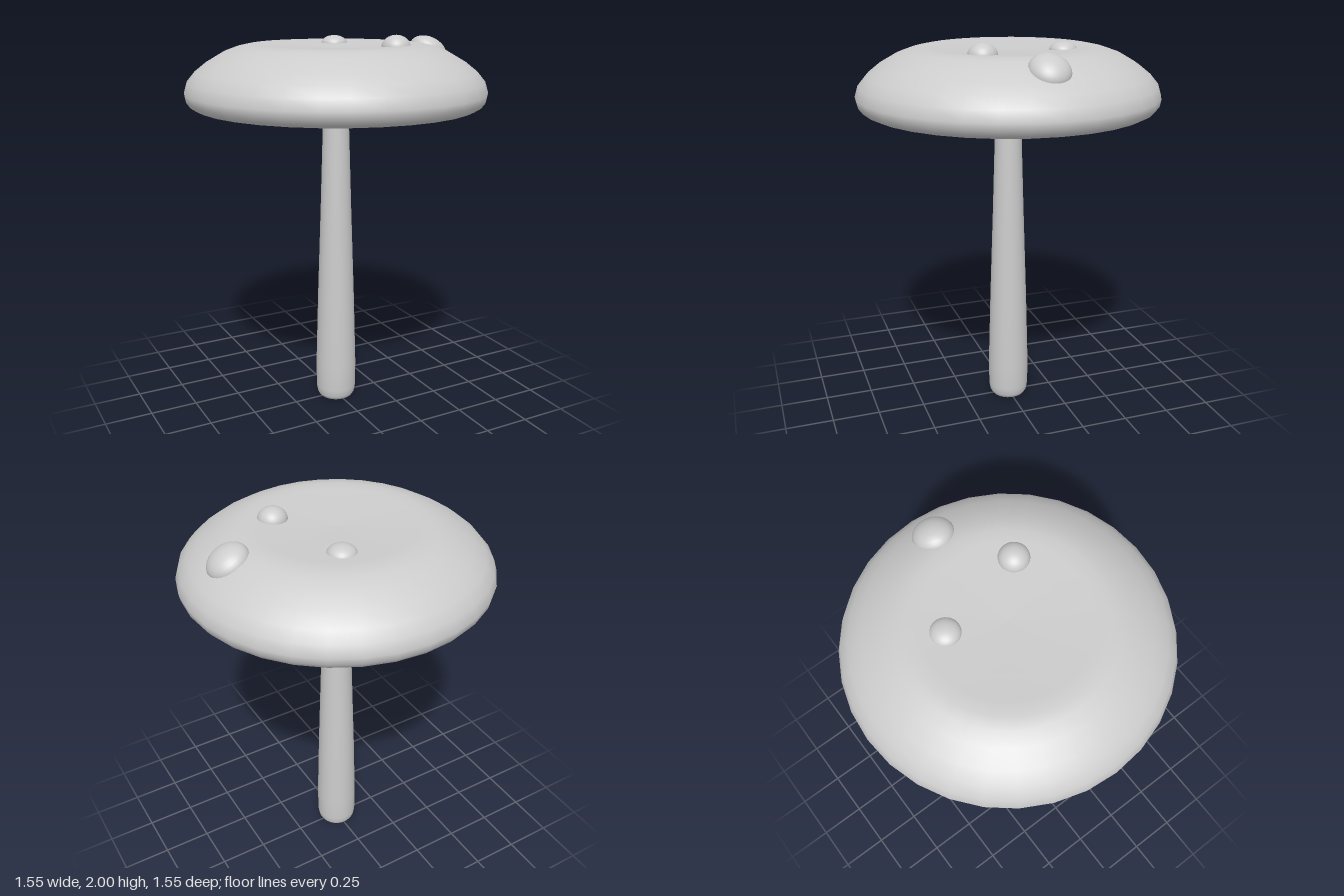
import * as THREE from 'three';

const grey = new THREE.MeshStandardMaterial({ color: 0xcccccc });
grey.name = 'plain grey';

// Smooth surface of revolution from [radius, height] pairs, listed bottom to top on the outside
function lathe(name, profile, segments) {
  const points = profile.map(([r, y]) => new THREE.Vector2(r, y));
  const mesh = new THREE.Mesh(new THREE.LatheGeometry(points, segments), grey);
  mesh.name = name;
  return mesh;
}

export function createModel() {
  const model = new THREE.Group();
  model.name = 'mushroom';

  // Cap: shallow hollow underside, rolled rim, domed shoulder and slightly dished top
  model.add(lathe('cap', [
    [0, 1.815], [0.3, 1.806], [0.46, 1.785], [0.54, 1.745], [0.6, 1.69], [0.64, 1.648], [0.68, 1.634],
    [0.715, 1.637], [0.747, 1.653], [0.767, 1.68], [0.774, 1.715], [0.757, 1.77],
    [0.715, 1.82], [0.655, 1.867], [0.57, 1.916], [0.5, 1.941], [0.445, 1.952],
    [0.38, 1.95], [0.25, 1.941], [0, 1.932],
  ], 32));

  // Stem: tapered, with a small rounded foot
  model.add(lathe('stem', [
    [0.095, 0.008], [0.103, 0.022], [0.109, 0.06], [0.11, 0.2],
    [0.099, 0.6], [0.082, 1.1], [0.067, 1.6], [0.061, 1.83],
  ], 32));
  model.add(lathe('stemBase', [[0, 0], [0.088, 0], [0.095, 0.008]], 32));

  // Raised spots: flattened spheres sunk into the cap, the outer one tilted with the shoulder
  const spots = [
    { at: [0.12, 1.935, -0.248], size: [0.071, 0.045, 0.071], tilt: 0 },
    { at: [0.23, 1.938, 0.207], size: [0.074, 0.062, 0.074], tilt: 0 },
    { at: [0.562, 1.9, 0], size: [0.107, 0.07, 0.1], tilt: -0.5 },
  ];
  spots.forEach(({ at, size, tilt }, i) => {
    const spot = new THREE.Mesh(new THREE.SphereGeometry(1, 32, 16), grey);
    spot.name = `spot${i + 1}`;
    spot.position.set(...at);
    spot.scale.set(...size);
    spot.rotation.z = tilt;
    model.add(spot);
  });

  return model;
}
